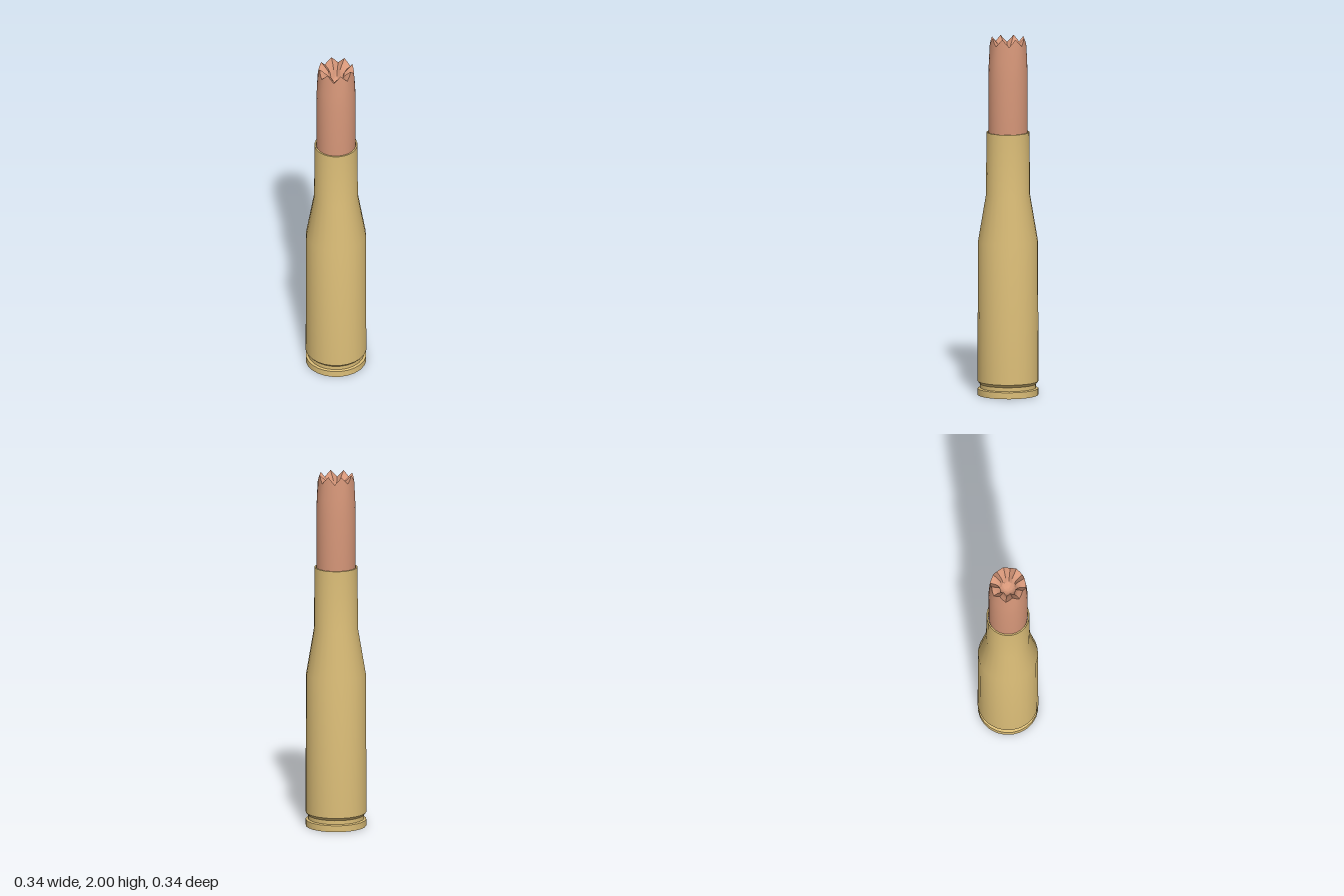
import * as THREE from 'three';
import { toCreasedNormals } from 'three/addons/utils/BufferGeometryUtils.js';

const SIDES = 32; // four steps per tooth, eight teeth

// Skin between rings; each ring is [radius at notch, radius at tooth, y at notch, y at tooth]
function toothedLoft(rings) {
  const positions = [], index = [];
  rings.forEach(([rNotch, rTooth, yNotch, yTooth], j) => {
    for (let i = 0; i < SIDES; i++) {
      const tooth = 1 - Math.abs((i % 4) - 2) / 2; // 1 at notch side 2, 0 at side 0
      const a = (i / SIDES) * Math.PI * 2;
      const r = rNotch + (rTooth - rNotch) * tooth;
      positions.push(r * Math.sin(a), yNotch + (yTooth - yNotch) * tooth, r * Math.cos(a));
      if (j === rings.length - 1) continue;
      const n = (i + 1) % SIDES, p = j * SIDES;
      index.push(p + i, p + n, p + SIDES + n, p + i, p + SIDES + n, p + SIDES + i);
    }
  });
  const geometry = new THREE.BufferGeometry();
  geometry.setAttribute('position', new THREE.Float32BufferAttribute(positions, 3));
  geometry.setIndex(index);
  return toCreasedNormals(geometry, 0.75);
}

export function createModel() {
  const brass = new THREE.MeshStandardMaterial({ color: 0xdcbe78 });
  brass.name = 'brass';
  const copper = new THREE.MeshStandardMaterial({ color: 0xd8987a });
  copper.name = 'copper';
  const model = new THREE.Group();
  model.name = 'cartridge';

  // Bottlenecked case with extractor groove, rim and open mouth
  const profile = [
    [0, 0], [0.168, 0], [0.168, 0.036], [0.155, 0.04], [0.155, 0.062], [0.169, 0.078],
    [0.166, 0.86], [0.122, 1.12], [0.119, 1.47], [0.111, 1.47], [0.111, 1.4],
  ].map(([r, y]) => new THREE.Vector2(r, y));
  const casing = new THREE.Mesh(toCreasedNormals(new THREE.LatheGeometry(profile, 24), 0.5), brass);
  casing.name = 'casing';
  model.add(casing);

  // Bullet jacket, its torn crown and the hollow inside
  const bullet = new THREE.Mesh(toothedLoft([
    [0.105, 0.105, 1.41, 1.41],
    [0.109, 0.109, 1.47, 1.47],
    [0.109, 0.109, 1.76, 1.76],
    [0.106, 0.106, 1.87, 1.87],
    [0.101, 0.094, 1.958, 2.0],
    [0.075, 0.07, 1.95, 1.975],
    [0.053, 0.046, 1.93, 1.95],
    [0.042, 0.04, 1.89, 1.89],
    [0.02, 0.02, 1.872, 1.872],
    [0, 0, 1.868, 1.868],
  ]), copper);
  bullet.name = 'hollowBullet';
  model.add(bullet);

  return model;
}
